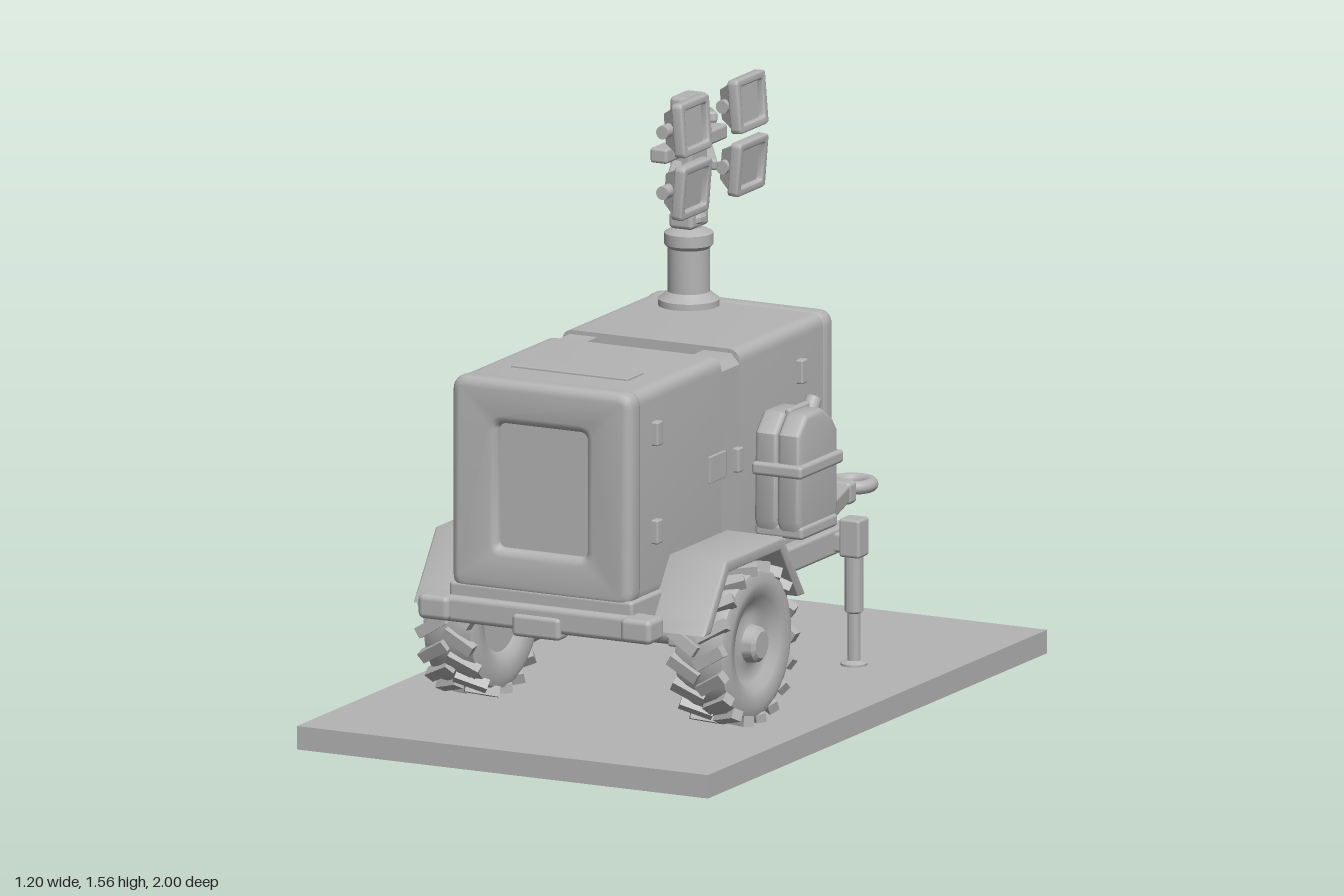
import * as THREE from 'three';
import { mergeGeometries, toCreasedNormals } from 'three/addons/utils/BufferGeometryUtils.js';
import { RoundedBoxGeometry } from 'three/addons/geometries/RoundedBoxGeometry.js';

const gray = new THREE.MeshStandardMaterial({ color: 0xb4b4b4 });
gray.name = 'plain gray';

function add(parent, name, geo, x = 0, y = 0, z = 0) {
  const m = new THREE.Mesh(geo, gray);
  m.name = name;
  m.position.set(x, y, z);
  parent.add(m);
  return m;
}
// Box given by its extents, with softened edges
function box(parent, name, [x0, x1], [y0, y1], [z0, z1], r = 0.008) {
  const g = r ? new RoundedBoxGeometry(x1 - x0, y1 - y0, z1 - z0, 2, r)
    : new THREE.BoxGeometry(x1 - x0, y1 - y0, z1 - z0);
  return add(parent, name, g, (x0 + x1) / 2, (y0 + y1) / 2, (z0 + z1) / 2);
}
// Box beam between two points
function beam(parent, name, a, b, w, h) {
  const A = new THREE.Vector3(...a), B = new THREE.Vector3(...b);
  const m = add(parent, name, new RoundedBoxGeometry(w, h, A.distanceTo(B), 2, 0.008));
  m.position.copy(A).lerp(B, 0.5);
  m.lookAt(B);
  return m;
}
function roundRect(s, x0, y0, x1, y1, r) {
  s.moveTo(x0 + r, y0).lineTo(x1 - r, y0).quadraticCurveTo(x1, y0, x1, y0 + r)
    .lineTo(x1, y1 - r).quadraticCurveTo(x1, y1, x1 - r, y1)
    .lineTo(x0 + r, y1).quadraticCurveTo(x0, y1, x0, y1 - r)
    .lineTo(x0, y0 + r).quadraticCurveTo(x0, y0, x0 + r, y0);
  return s;
}
function extrude(shape, depth, bevel = 0) {
  return toCreasedNormals(new THREE.ExtrudeGeometry(shape, {
    depth: depth - 2 * bevel, bevelEnabled: bevel > 0, bevelSize: bevel, bevelThickness: bevel,
    bevelOffset: -bevel, bevelSegments: 3, curveSegments: 6,
  }).translate(0, 0, bevel), 0.6);
}
const lathe = (pts, n = 32) =>
  toCreasedNormals(new THREE.LatheGeometry(pts.map(p => new THREE.Vector2(...p)), n), 0.6);

function buildBody(root) {
  const g = new THREE.Group();
  g.name = 'body';
  root.add(g);
  const cabinet = roundRect(new THREE.Shape(), -0.259, 0.42, 0.259, 0.983, 0.035);
  add(g, 'rearCabinet', extrude(cabinet, 0.49), 0, 0, -0.31);
  add(g, 'frontCabinet', extrude(cabinet, 0.485), 0, 0, 0.28);
  // Middle section with the top slot
  const slot = new THREE.Shape();
  slot.moveTo(-0.259, 0.42).lineTo(0.259, 0.42).lineTo(0.259, 0.945).lineTo(0.235, 0.972)
    .lineTo(0.155, 0.972).lineTo(0.155, 0.92).lineTo(-0.155, 0.92).lineTo(-0.155, 0.972)
    .lineTo(-0.235, 0.972).lineTo(-0.259, 0.945);
  add(g, 'slotSection', extrude(slot, 0.1), 0, 0, 0.18);
  // End frames with sunken panels
  const end = (name, hole, z) => {
    const s = roundRect(new THREE.Shape(), -0.262, 0.42, 0.262, 0.986, 0.04);
    s.holes.push(roundRect(new THREE.Path(), ...hole, 0.02));
    add(g, name, extrude(s, 0.07, 0.022), 0, 0, z);
  };
  end('frontFrame', [-0.13, 0.54, 0.13, 0.87], 0.72);
  end('rearFrame', [-0.17, 0.52, 0.17, 0.89], -0.34);
  box(g, 'lidPanel', [-0.17, 0.17], [0.98, 0.989], [0.54, 0.63], 0.003);
  // Hinges and plates on both sides
  for (const s of [1, -1]) {
    for (const [z, y] of [[0.65, 0.86], [0.65, 0.6], [-0.15, 0.86], [-0.15, 0.59]]) {
      box(g, 'hinge', [s * 0.265 - 0.012, s * 0.265 + 0.012], [y - 0.032, y + 0.032], [z - 0.016, z + 0.016], 0.005);
    }
    box(g, 'sidePlate', [s * 0.261 - 0.005, s * 0.261 + 0.005], [0.665, 0.735], [0.265, 0.355], 0.002);
    box(g, 'doorHandle', [s * 0.264 - 0.011, s * 0.264 + 0.011], [0.665, 0.73], [0.185, 0.215], 0.005);
  }
}

function buildChassis(root) {
  const g = new THREE.Group();
  g.name = 'chassis';
  root.add(g);
  box(g, 'frame', [-0.268, 0.268], [0.345, 0.44], [-0.35, 0.79], 0.01);
  box(g, 'sideFlange', [-0.3, 0.3], [0.35, 0.42], [-0.37, 0.14], 0.01);
  box(g, 'bumper', [-0.3, 0.3], [0.335, 0.405], [0.74, 0.81], 0.015);
  box(g, 'bumperStep', [-0.07, 0.07], [0.32, 0.38], [0.76, 0.82], 0.012);
  const axle = add(g, 'axle', new THREE.CylinderGeometry(0.03, 0.03, 0.62, 16), 0, 0.275, 0.42);
  axle.rotation.z = Math.PI / 2;
  for (const s of [1, -1]) {
    box(g, 'axleHanger', [s * 0.22 - 0.02, s * 0.22 + 0.02], [0.25, 0.36], [0.37, 0.47]);
    box(g, 'cornerLight', [s * 0.295 - 0.045, s * 0.295 + 0.045], [0.34, 0.405], [0.745, 0.83], 0.015);
    // Angular fender over the wheel
    const f = new THREE.Shape();
    f.moveTo(-0.69, 0.345).lineTo(-0.66, 0.385).lineTo(-0.565, 0.52).lineTo(-0.25, 0.52)
      .lineTo(-0.13, 0.345).lineTo(-0.165, 0.345).lineTo(-0.265, 0.488).lineTo(-0.55, 0.488)
      .lineTo(-0.65, 0.345);
    const fender = add(g, 'fender', extrude(f, 0.175, 0.006), s > 0 ? 0.25 : -0.425);
    fender.rotation.y = Math.PI / 2;
    // Support jack
    box(g, 'jackArm', [s * 0.3 - 0.05, s * 0.3 + 0.05], [0.36, 0.41], [-0.315, -0.265]);
    box(g, 'jackHead', [s * 0.345 - 0.03, s * 0.345 + 0.03], [0.35, 0.452], [-0.32, -0.26]);
    add(g, 'jackLeg', lathe([[0, 0.055], [0.035, 0.055], [0.035, 0.068], [0.017, 0.075],
      [0.017, 0.2], [0.024, 0.205], [0.024, 0.36], [0, 0.36]], 16), s * 0.345, 0, -0.29);
    // Drawbar
    beam(g, 'drawbar', [s * 0.17, 0.372, -0.34], [s * 0.025, 0.372, -0.84], 0.04, 0.048);
  }
  box(g, 'coupler', [-0.055, 0.055], [0.343, 0.403], [-0.86, -0.815], 0.012);
  box(g, 'couplerNeck', [-0.025, 0.025], [0.352, 0.392], [-0.89, -0.83]);
  add(g, 'towRing', new THREE.TorusGeometry(0.05, 0.018, 12, 32).rotateX(Math.PI / 2), 0, 0.372, -0.933);
}

function buildWheel(root, side) {
  const g = new THREE.Group();
  g.name = side > 0 ? 'leftWheel' : 'rightWheel';
  g.position.set(side * 0.367, 0.272, 0.42);
  g.rotation.z = -side * Math.PI / 2;
  root.add(g);
  add(g, 'tyreAndHub', lathe([[0, -0.055], [0.1, -0.055], [0.12, -0.072], [0.165, -0.078],
    [0.192, -0.068], [0.2, -0.04], [0.2, 0.04], [0.192, 0.068], [0.165, 0.078], [0.125, 0.07],
    [0.105, 0.05], [0.075, 0.042], [0.05, 0.05], [0.046, 0.076], [0.035, 0.085], [0, 0.085]], 40));
  // Chevron lugs
  const lugs = [];
  for (let i = 0; i < 36; i++) {
    const up = i % 2 ? 1 : -1;
    lugs.push(new THREE.BoxGeometry(0.028, 0.09, 0.03).rotateX(up * 0.55)
      .translate(0.2, up * 0.038, 0).rotateY(i * Math.PI / 18));
  }
  add(g, 'treadLugs', mergeGeometries(lugs));
}

function buildMast(root) {
  const g = new THREE.Group();
  g.name = 'lightMast';
  g.position.set(-0.1, 0, -0.22);
  root.add(g);
  add(g, 'mastTube', lathe([[0, 0.97], [0.08, 0.97], [0.08, 1.0], [0.066, 1.01], [0.055, 1.02],
    [0.055, 1.135], [0.064, 1.145], [0.064, 1.175], [0.05, 1.182], [0.034, 1.19], [0.034, 1.2],
    [0.046, 1.208], [0.046, 1.22], [0.028, 1.245], [0.024, 1.32], [0, 1.32]]));
  box(g, 'mastClamp', [-0.035, 0.035], [1.19, 1.235], [-0.05, 0.05], 0.012);
  box(g, 'headPost', [-0.032, 0.032], [1.3, 1.54], [-0.05, 0.05], 0.012);
  box(g, 'headPlate', [-0.022, 0.022], [1.39, 1.425], [0.04, 0.055], 0.004);
  box(g, 'crossbar', [-0.025, 0.025], [1.39, 1.43], [-0.17, 0.17]);
  // Four square lamps facing the left side
  for (const y of [1.492, 1.328]) for (const s of [1, -1]) {
    const lamp = new THREE.Group();
    lamp.name = 'floodlight';
    lamp.position.set(0.068, y, s > 0 ? 0.14 : -0.17);
    lamp.rotation.z = y > 1.4 ? 0.08 : -0.08;
    g.add(lamp);
    const rim = roundRect(new THREE.Shape(), -0.079, -0.071, 0.079, 0.071, 0.012);
    rim.holes.push(roundRect(new THREE.Path(), -0.058, -0.05, 0.058, 0.05, 0.008));
    add(lamp, 'lampRim', extrude(rim, 0.03, 0.005)).rotation.y = Math.PI / 2;
    const housing = new THREE.CylinderGeometry(0.104, 0.06, 0.055, 4, 1).rotateY(Math.PI / 4)
      .rotateZ(-Math.PI / 2).scale(1, 0.92, 1.02).toNonIndexed();
    housing.computeVertexNormals();
    add(lamp, 'lampHousing', housing, -0.014);
    add(lamp, 'lampPivot', new THREE.CylinderGeometry(0.018, 0.018, 0.17, 12).rotateX(Math.PI / 2), -0.022, 0, s * 0.01);
    beam(g, 'lampBracket', [0, y > 1.4 ? 1.44 : 1.38, s * 0.04], [0.02, y, s * 0.15], 0.03, 0.03);
  }
}

function buildFuelCans(root) {
  const g = new THREE.Group();
  g.name = 'fuelCans';
  root.add(g);
  // Two narrow cans side by side, sloped at the top
  const s = new THREE.Shape();
  s.moveTo(-0.095, 0.485).lineTo(0.095, 0.485).lineTo(0.11, 0.52).lineTo(0.112, 0.73)
    .lineTo(0.085, 0.765).lineTo(0.03, 0.8).lineTo(-0.06, 0.8).lineTo(-0.105, 0.75).lineTo(-0.11, 0.52);
  for (const x of [0.262, 0.328]) {
    add(g, 'can', extrude(s, 0.066, 0.014), x, 0, 0).rotation.y = Math.PI / 2;
  }
  box(g, 'strap', [0.26, 0.407], [0.64, 0.675], [-0.12, 0.12], 0.01);
  box(g, 'rack', [0.26, 0.4], [0.475, 0.51], [-0.1, 0.1], 0.01);
  const spout = add(g, 'spout', new THREE.CylinderGeometry(0.022, 0.022, 0.06, 14), 0.315, 0.775, -0.105);
  spout.rotation.x = -0.7;
  beam(g, 'carryHandle', [0.33, 0.795, 0.05], [0.33, 0.795, -0.06], 0.02, 0.025);
}

export function createModel() {
  const root = new THREE.Group();
  root.name = 'lightTowerTrailer';
  box(root, 'ground plate', [-0.6, 0.6], [0, 0.062], [-0.875, 1], 0);
  buildBody(root);
  buildChassis(root);
  buildWheel(root, 1);
  buildWheel(root, -1);
  buildMast(root);
  buildFuelCans(root);
  // Centre the whole length on z
  root.children.forEach(c => { c.position.z += 0; });
  return root;
}
